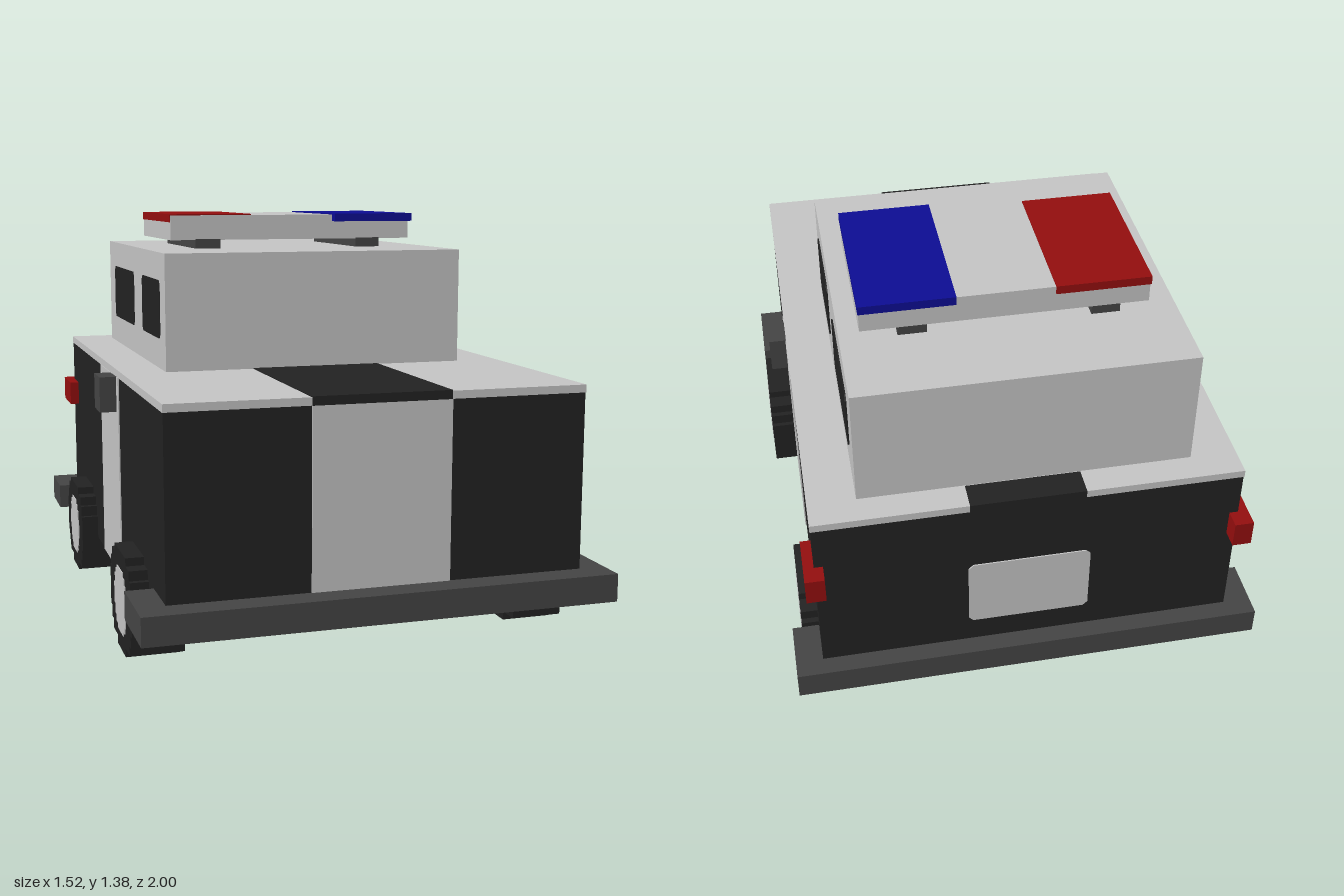
import * as THREE from 'three';

const mat = (name, color) => {
  const m = new THREE.MeshStandardMaterial({ color });
  m.name = name;
  return m;
};

export function createModel() {
  const white = mat('white', 0xc4c4c4);
  const black = mat('black', 0x222222);
  const grey = mat('grey', 0x444444);
  const red = mat('red', 0x930e0e);
  const blue = mat('blue', 0x0d0d93);
  const car = new THREE.Group();
  car.name = 'patrolCar';

  // Box given by its limits on each axis
  const box = (name, material, [x0, x1], [y0, y1], [z0, z1]) => {
    const mesh = new THREE.Mesh(new THREE.BoxGeometry(x1 - x0, y1 - y0, z1 - z0), material);
    mesh.position.set((x0 + x1) / 2, (y0 + y1) / 2, (z0 + z1) / 2);
    mesh.name = name;
    car.add(mesh);
    return mesh;
  };

  // Thin plate with clipped corners, in the xy plane
  const plate = (name, material, w, h) => {
    const c = 0.015, a = w / 2, b = h / 2;
    const shape = new THREE.Shape([
      [-a + c, -b], [a - c, -b], [a, -b + c], [a, b - c],
      [a - c, b], [-a + c, b], [-a, b - c], [-a, -b + c],
    ].map(p => new THREE.Vector2(...p)));
    const geo = new THREE.ExtrudeGeometry(shape, { depth: 0.006, bevelEnabled: false });
    geo.translate(0, 0, -0.003);
    const mesh = new THREE.Mesh(geo, material);
    mesh.name = name;
    car.add(mesh);
    return mesh;
  };

  // Body with roof-coloured deck and panels
  box('body', black, [-0.67, 0.67], [0.155, 0.84], [-0.94, 0.91]);
  box('deck', white, [-0.672, 0.672], [0.84, 0.865], [-0.942, 0.912]);
  box('hoodStripe', black, [-0.225, 0.22], [0.84, 0.868], [0.255, 0.915]);
  box('trunkStripe', black, [-0.17, 0.19], [0.84, 0.868], [-0.945, -0.855]);
  box('grillePanel', white, [-0.225, 0.222], [0.155, 0.84], [0.908, 0.914]);
  plate('rearPlate', white, 0.39, 0.25).position.set(0, 0.485, -0.941);

  // Bumpers wrapping round the corners
  box('frontBumper', grey, [-0.76, 0.757], [0.182, 0.272], [0.73, 1]);
  box('rearBumper', grey, [-0.76, 0.757], [0.182, 0.272], [-1, -0.795]);

  // Cabin
  box('cabin', white, [-0.525, 0.522], [0.865, 1.257], [-0.85, 0.252]);

  // Parts on both sides
  for (const s of [1, -1]) {
    const span = (a, b) => (s > 0 ? [a, b] : [-b, -a]);
    box('doorPanel', white, span(0.668, 0.674), [0.155, 0.84], [-0.2, 0.17]);
    box('mirror', grey, span(0.67, 0.73), [0.72, 0.84], [0.02, 0.135]);
    box('tailLight', red, span(0.642, 0.703), [0.602, 0.69], [-0.998, -0.822]);
    for (const [z0, z1] of [[-0.155, 0.165], [-0.73, -0.315]]) {
      const win = plate('window', black, z1 - z0, 0.198);
      win.rotation.y = Math.PI / 2;
      win.position.set(s * 0.5235, 1.065, (z0 + z1) / 2);
    }
    box('lightBarMount', grey, span(0.255, 0.345), [1.25, 1.29], [-0.578, -0.078]);
  }

  // Light bar
  box('lightBar', white, [-0.435, 0.46], [1.287, 1.374], [-0.58, -0.08]);
  box('redLamp', red, [-0.438, -0.14], [1.35, 1.378], [-0.585, -0.082]);
  box('blueLamp', blue, [0.165, 0.462], [1.35, 1.378], [-0.585, -0.048]);

  // Stepped disc: rows of [bottom y, half width], ending at the top y, extruded along x
  const steppedDisc = (name, material, rows, top, width) => {
    const right = [];
    rows.forEach(([y, w], i) => {
      const next = i + 1 < rows.length ? rows[i + 1][0] : top;
      right.push(new THREE.Vector2(w, y), new THREE.Vector2(w, next));
    });
    const left = right.map(p => new THREE.Vector2(-p.x, p.y)).reverse();
    const geo = new THREE.ExtrudeGeometry(new THREE.Shape([...right, ...left]),
      { depth: width, bevelEnabled: false });
    geo.translate(0, 0, -width / 2).rotateY(Math.PI / 2);
    const mesh = new THREE.Mesh(geo, material);
    mesh.name = name;
    return mesh;
  };
  const tyreRows = [[0, 0.075], [0.028, 0.15], [0.06, 0.172], [0.1, 0.195],
    [0.235, 0.178], [0.272, 0.158], [0.304, 0.1]];
  const hubRows = [[0.06, 0.05], [0.075, 0.075], [0.098, 0.092], [0.13, 0.107],
    [0.2, 0.092], [0.235, 0.075], [0.255, 0.05]];

  // Wheels
  for (const [name, x, z] of [
    ['frontLeftWheel', 0.668, 0.478], ['frontRightWheel', -0.642, 0.478],
    ['rearLeftWheel', 0.638, -0.602], ['rearRightWheel', -0.642, -0.575],
  ]) {
    const wheel = new THREE.Group();
    wheel.name = name;
    wheel.add(steppedDisc('tyre', black, tyreRows, 0.33, 0.175));
    wheel.add(steppedDisc('hub', white, hubRows, 0.27, 0.181));
    wheel.position.set(x, 0, z);
    car.add(wheel);
  }
  return car;
}
